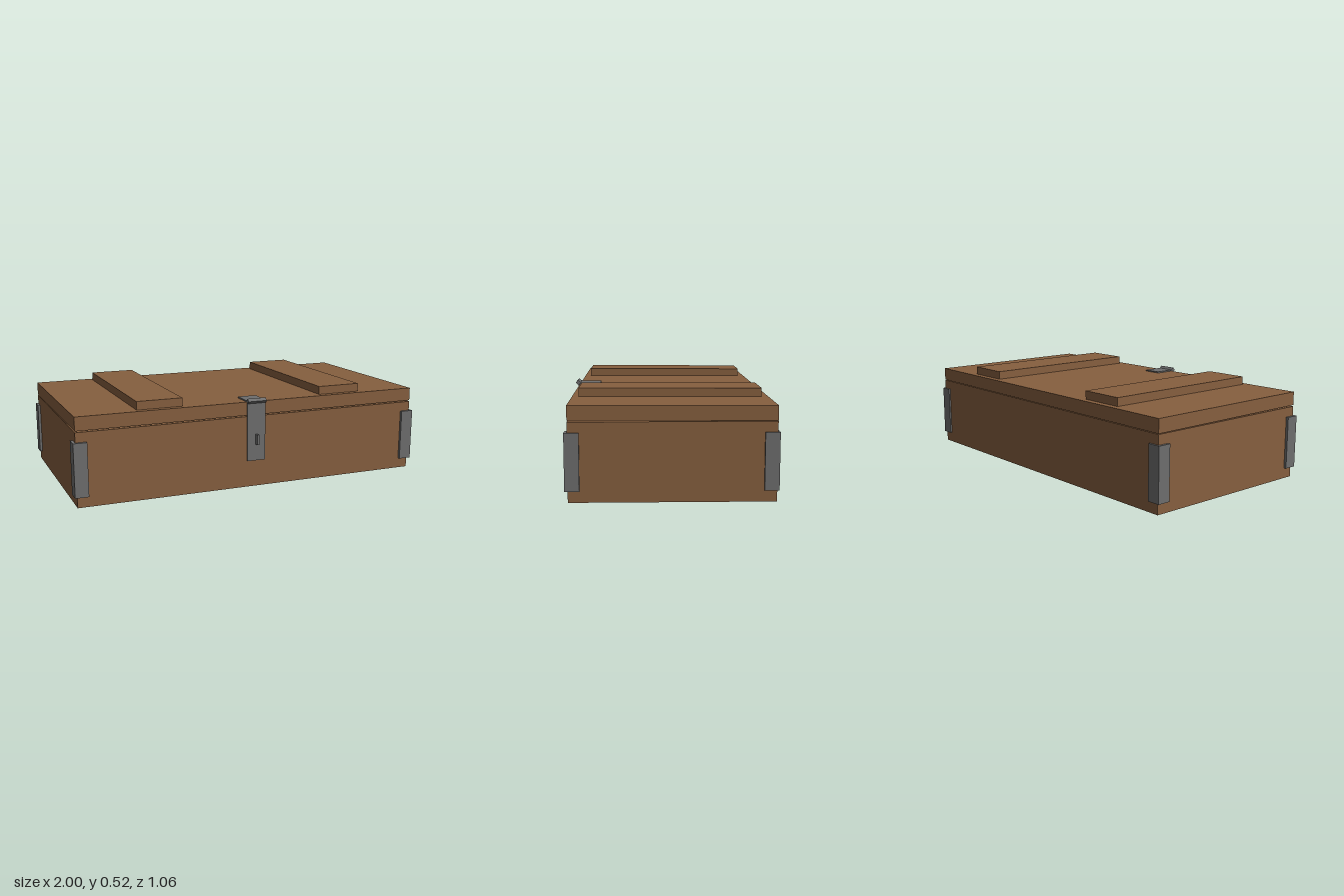
import * as THREE from 'three';

const wood = new THREE.MeshStandardMaterial({ color: 0x865f3f });
const metal = new THREE.MeshStandardMaterial({ color: 0x6e6e6e });

// Box given by its [min, max] range on each axis
function box(name, material, [x0, x1], [y0, y1], [z0, z1]) {
  const mesh = new THREE.Mesh(new THREE.BoxGeometry(x1 - x0, y1 - y0, z1 - z0), material);
  mesh.position.set((x0 + x1) / 2, (y0 + y1) / 2, (z0 + z1) / 2);
  mesh.name = name;
  return mesh;
}

// L-shaped bracket wrapping a vertical edge; sx and sz point outwards
function cornerBracket(name, sx, sz, zOuter) {
  const size = 0.072, t = 0.015, height = 0.285;
  const points = [[0, 0], [-size, 0], [-size, -t], [-t, -t], [-t, -size], [0, -size]]
    .map(([x, z]) => new THREE.Vector2(sx * x, -sz * z));
  const geometry = new THREE.ExtrudeGeometry(new THREE.Shape(points), { depth: height, bevelEnabled: false });
  geometry.rotateX(-Math.PI / 2);
  const mesh = new THREE.Mesh(geometry, metal);
  mesh.position.set(sx, 0.057, zOuter);
  mesh.name = name;
  return mesh;
}

export function createModel() {
  const model = new THREE.Group();
  model.name = 'woodenCrate';
  model.add(box('body', wood, [-0.986, 0.986], [0, 0.394], [-0.521, 0.491]));

  // Lid, hinged at the back and resting very slightly open
  const lid = new THREE.Group();
  lid.name = 'lid';
  lid.position.set(0, 0.397, -0.521);
  lid.rotation.x = -0.004;
  lid.add(box('lidPanel', wood, [-0.986, 0.986], [0, 0.073], [0, 1.012]));
  for (const [side, x] of [['left', 0.53], ['right', -0.53]]) {
    lid.add(box(side + 'LidBatten', wood, [x - 0.125, x + 0.125], [0.073, 0.118], [0.036, 0.978]));
  }
  model.add(lid);

  // Corner brackets
  for (const [side, sx] of [['Left', 1], ['Right', -1]]) {
    model.add(cornerBracket('front' + side + 'Bracket', sx, 1, 0.506));
    model.add(cornerBracket('back' + side + 'Bracket', sx, -1, -0.53));
  }

  // Hasp: plate on the lid, hinge knuckle, hanging strap and staple
  const hasp = new THREE.Group();
  hasp.name = 'hasp';
  hasp.add(box('haspTopPlate', metal, [-0.053, 0.053], [0.472, 0.481], [0.372, 0.503]));
  hasp.add(box('haspStrap', metal, [-0.053, 0.053], [0.148, 0.48], [0.497, 0.503]));
  const knuckle = box('haspKnuckle', metal, [-0.053, 0.053], [0.47, 0.49], [0.493, 0.513]);
  knuckle.rotation.x = Math.PI / 4;
  hasp.add(knuckle);
  hasp.add(box('haspStaple', metal, [-0.006, 0.006], [0.24, 0.296], [0.49, 0.53]));
  model.add(hasp);

  return model;
}
